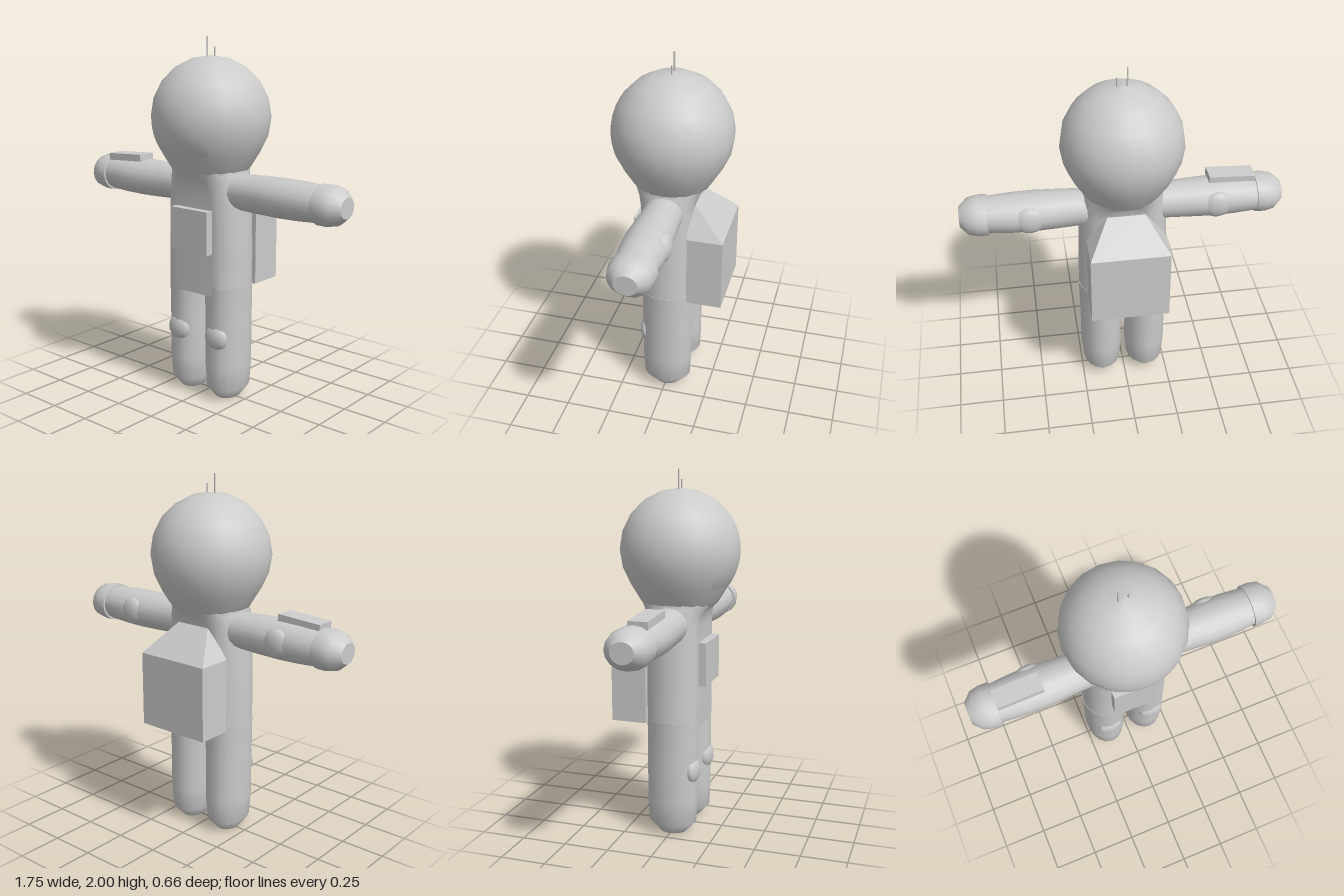
import * as THREE from 'three';

const material = new THREE.MeshStandardMaterial({ color: 0xcccccc });

function add(parent, name, geometry, x = 0, y = 0, z = 0) {
  const mesh = new THREE.Mesh(geometry, material);
  mesh.name = name;
  mesh.position.set(x, y, z);
  parent.add(mesh);
  return mesh;
}

// Smooth skin through rings [y, rx, rz, spread]; spread pulls the two halves
// of an ellipse apart into a stadium. Both ends get flat caps.
function loft(rings) {
  const stadium = rings[0][3] > 0;
  const steps = stadium ? 9 : 8;
  const n = steps * 2;
  const pos = [], idx = [];
  const pushRing = ([y, rx, rz, spread = 0]) => {
    for (let half = 0; half < 2; half++) {
      for (let k = 0; k < steps; k++) {
        const a = -Math.PI / 2 + half * Math.PI + (k * Math.PI) / 8;
        pos.push((half ? -spread : spread) + rx * Math.cos(a), y, rz * Math.sin(a));
      }
    }
  };
  rings.forEach(pushRing);
  for (let i = 0; i < rings.length - 1; i++) {
    for (let j = 0; j < n; j++) {
      const a = i * n + j, b = i * n + ((j + 1) % n);
      idx.push(a, a + n, b, b, a + n, b + n);
    }
  }
  [rings[0], rings[rings.length - 1]].forEach((ring, top) => {
    const start = pos.length / 3;
    pushRing(ring);
    for (let j = 1; j < n - 1; j++) {
      if (top) idx.push(start, start + j + 1, start + j);
      else idx.push(start, start + j, start + j + 1);
    }
  });
  const g = new THREE.BufferGeometry();
  g.setAttribute('position', new THREE.Float32BufferAttribute(pos, 3));
  g.setIndex(idx);
  g.computeVertexNormals();
  return g;
}

// Box with a sloped, hipped top leaning against the back
function packGeometry() {
  const w = 0.215, t = 0.09, f = -0.13, b = -0.325, y0 = 0.64, y1 = 1.05, y2 = 1.225;
  const c = [
    [-w, y0, f], [w, y0, f], [w, y0, b], [-w, y0, b],
    [-w, y1, f], [w, y1, f], [w, y1, b], [-w, y1, b],
    [-t, y2, f], [t, y2, f],
  ];
  const faces = [
    [3, 2, 1, 0], [0, 1, 5, 4], [2, 3, 7, 6], [1, 2, 6, 5], [3, 0, 4, 7],
    [4, 5, 9, 8], [6, 7, 8, 9], [5, 6, 9], [7, 4, 8],
  ];
  const pos = [];
  for (const q of faces) {
    for (let i = 1; i < q.length - 1; i++) pos.push(...c[q[0]], ...c[q[i]], ...c[q[i + 1]]);
  }
  const g = new THREE.BufferGeometry();
  g.setAttribute('position', new THREE.Float32BufferAttribute(pos, 3));
  g.computeVertexNormals();
  return g;
}

export function createModel() {
  const model = new THREE.Group();
  model.name = 'spacesuitFigure';

  // Helmet: round globe that tapers to the collar
  const profile = [
    [0.2, 1.28], [0.215, 1.295], [0.27, 1.385], [0.312, 1.475], [0.328, 1.572], [0.312, 1.672],
    [0.265, 1.765], [0.193, 1.838], [0.102, 1.885], [0, 1.9],
  ].map(([x, y]) => new THREE.Vector2(x, y));
  add(model, 'helmet', new THREE.LatheGeometry(profile, 20));

  // Visor patch, almost flush with the helmet
  add(model, 'visor', new THREE.SphereGeometry(0.327, 10, 10,
    Math.PI / 2 - 0.64, 1.28, Math.PI / 2 - 0.68, 1.36), 0, 1.572, 0);

  // Two thin antennas
  add(model, 'longAntenna', new THREE.CylinderGeometry(0.004, 0.004, 0.13, 6), -0.026, 1.935, 0);
  add(model, 'shortAntenna', new THREE.CylinderGeometry(0.004, 0.004, 0.08, 6), 0.027, 1.905, 0);

  // Torso, flaring into the collar
  add(model, 'torso', loft([
    [0.61, 0.124, 0.142, 0.128], [0.85, 0.122, 0.144, 0.128], [1.1, 0.118, 0.144, 0.125],
    [1.19, 0.122, 0.146, 0.115], [1.245, 0.14, 0.16, 0.09], [1.275, 0.175, 0.185, 0.045],
    [1.298, 0.208, 0.208, 0.008],
  ]));

  const legGeometry = loft([
    [0, 0.06, 0.075], [0.065, 0.108, 0.136], [0.2, 0.12, 0.142],
    [0.45, 0.12, 0.142], [0.66, 0.124, 0.142],
  ]);
  const armGeometry = loft([
    [0.12, 0.098, 0.105], [0.25, 0.1, 0.106], [0.36, 0.104, 0.113], [0.48, 0.106, 0.122],
    [0.6, 0.104, 0.12], [0.74, 0.096, 0.108],
  ]);
  const gloveGeometry = loft([
    [0.728, 0.106, 0.121], [0.78, 0.107, 0.121], [0.83, 0.096, 0.11], [0.876, 0.055, 0.062],
  ]);
  const padGeometry = new THREE.SphereGeometry(1, 16, 10);

  for (const s of [1, -1]) {
    const side = s > 0 ? 'left' : 'right';
    add(model, side + 'Leg', legGeometry, s * 0.13);
    add(model, side + 'KneePad', padGeometry, s * 0.135, 0.37, 0.115).scale.set(0.075, 0.075, 0.04);

    // Arm and glove lie along x
    add(model, side + 'Arm', armGeometry, 0, 1.187, 0).rotation.z = -s * Math.PI / 2;
    add(model, side + 'Glove', gloveGeometry, 0, 1.187, 0).rotation.z = -s * Math.PI / 2;
    add(model, side + 'ElbowPad', padGeometry, s * 0.508, 1.187, -0.088).scale.set(0.085, 0.078, 0.042);
  }

  // Control panels on the chest and right forearm
  add(model, 'chestPanel', new THREE.BoxGeometry(0.256, 0.24, 0.06), 0, 0.97, 0.157);
  add(model, 'forearmPanel', new THREE.BoxGeometry(0.254, 0.04, 0.105), -0.597, 1.298, 0.022).rotation.z = 0.055;

  add(model, 'backpack', packGeometry());
  return model;
}
